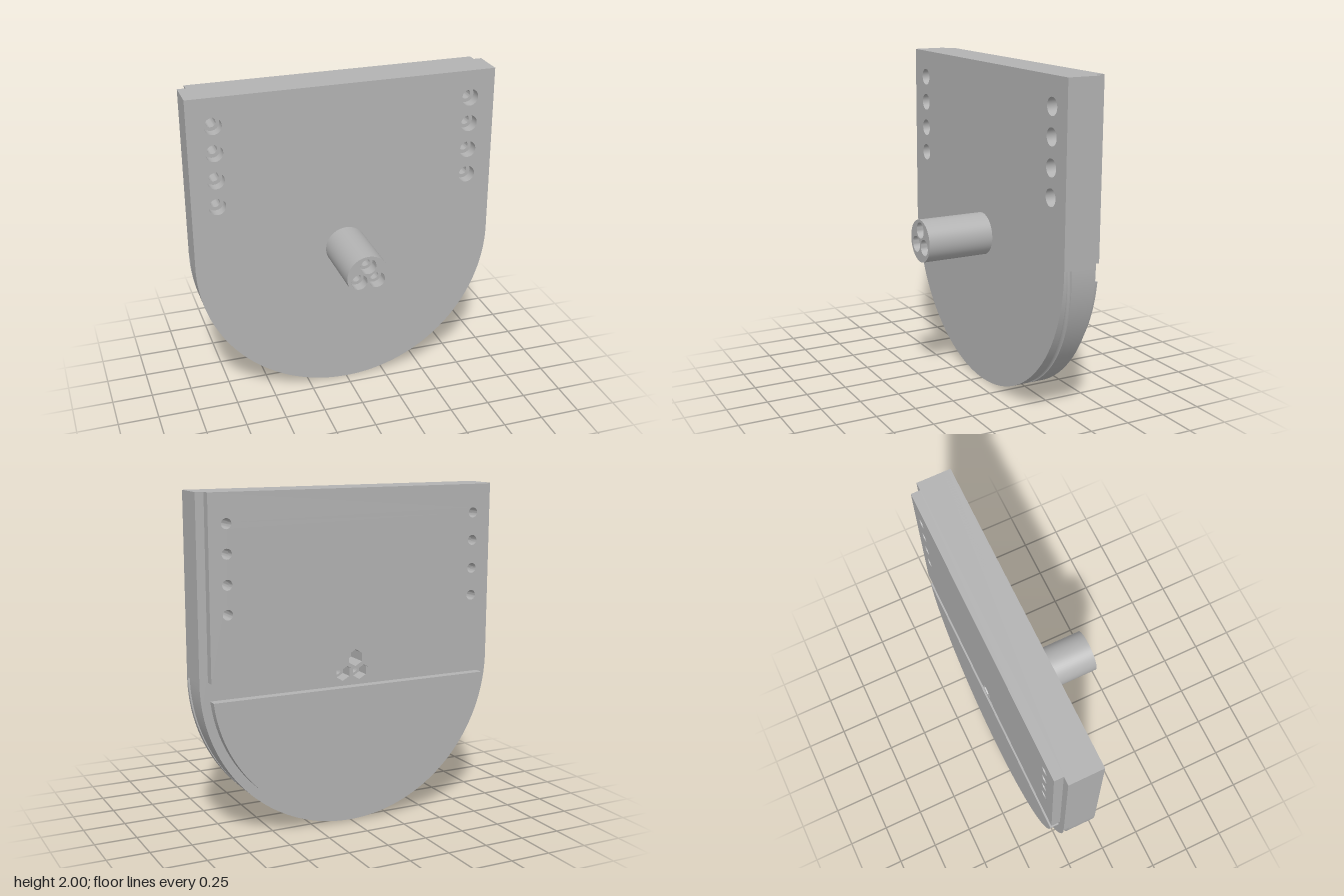
import * as THREE from 'three';
import { toCreasedNormals } from 'three/addons/utils/BufferGeometryUtils.js';

const R = 0.945, CY = 0.945, TOP = 2;            // rounded plate outline
const FRONT = -0.08, BACK = -0.285, PANEL = -0.34; // depth levels
const ARC = 96;
const BORE = 0.03, HEX = 0.05, HEX_FLOOR = -0.2;

const sideHoles = [];
for (const x of [-0.79, 0.79]) for (const y of [1.83, 1.665, 1.495, 1.33]) sideHoles.push([x, y]);
const bossHoles = [[0, 1.015], [-0.055, 0.92], [0.055, 0.92]];

const circle = (x, y, r) => new THREE.Path().absarc(x, y, r, 0, Math.PI * 2, true);

// Pointy-top hexagon corners
const hexPoints = (x, y) => Array.from({ length: 6 }, (_, i) => {
  const a = Math.PI / 2 + i * Math.PI / 3;
  return new THREE.Vector2(x + HEX * Math.cos(a), y + HEX * Math.sin(a));
});

// Arc points running from +x, under the centre, to -x
function lowerArc(r, start = 0) {
  return Array.from({ length: ARC + 1 }, (_, i) => {
    const t = start + (Math.PI - 2 * start) * i / ARC;
    return new THREE.Vector2(r * Math.cos(t), CY - r * Math.sin(t));
  });
}

function plateShape() {
  return new THREE.Shape([new THREE.Vector2(R, TOP), ...lowerArc(R), new THREE.Vector2(-R, TOP)]);
}

// Plate edge lofted around the outline, with a shallow spiral groove in the curved part
function rimGeometry() {
  const STEPS = 8, g = 0.016, sections = [];
  const add = (x, y, nx, ny, t, depth) => {
    const zc = Math.max(-0.11 - 0.18 * t, -0.268);
    const row = [[x, y, FRONT]];
    for (let i = 0; i <= STEPS; i++) {
      const a = Math.PI * i / STEPS, d = depth * Math.sin(a);
      row.push([x - nx * d, y - ny * d, zc + g * Math.cos(a)]);
    }
    row.push([x, y, BACK]);
    sections.push(row);
  };
  add(R, TOP, 1, 0, 0, 0);
  add(R, CY, 1, 0, 0, 0);
  for (let i = 0; i <= ARC; i++) {
    const t = i / ARC, c = Math.cos(t * Math.PI), s = -Math.sin(t * Math.PI);
    add(R * c, CY + R * s, c, s, t, g);
  }
  add(-R, CY, -1, 0, 1, 0);
  add(-R, TOP, -1, 0, 1, 0);
  const n = sections[0].length, index = [];
  for (let i = 0; i < sections.length; i++) {
    const a = i * n, b = ((i + 1) % sections.length) * n;
    for (let j = 0; j < n - 1; j++) index.push(a + j, b + j, b + j + 1, a + j, b + j + 1, a + j + 1);
  }
  const geo = new THREE.BufferGeometry();
  geo.setAttribute('position', new THREE.Float32BufferAttribute(sections.flat(2), 3));
  geo.setIndex(index);
  return toCreasedNormals(geo, 0.35);
}

// Counterbored hole lining, wide at the front
function boreGeometry(wide, front, step, back) {
  const profile = [[wide, front], [wide, step], [BORE, step], [BORE, back]]
    .map(p => new THREE.Vector2(...p));
  const geo = new THREE.LatheGeometry(profile, 32).rotateX(Math.PI / 2);
  return toCreasedNormals(geo, 0.5);
}

export function createModel() {
  const group = new THREE.Group();
  const grey = new THREE.MeshStandardMaterial({ color: 0xb2b2b2, side: THREE.DoubleSide });
  grey.name = 'grey';
  const add = (name, geo, x = 0, y = 0, z = 0) => {
    const mesh = new THREE.Mesh(geo, grey);
    mesh.name = name;
    mesh.position.set(x, y, z);
    group.add(mesh);
    return mesh;
  };

  // Main plate: rim, front face and back face
  add('plateRim', rimGeometry());
  const front = plateShape();
  for (const [x, y] of sideHoles) front.holes.push(circle(x, y, 0.052));
  for (const [x, y] of bossHoles) front.holes.push(circle(x, y, BORE));
  add('plateFront', new THREE.ShapeGeometry(front, 16), 0, 0, FRONT);

  const back = plateShape();
  for (const [x, y] of sideHoles) back.holes.push(circle(x, y, BORE));
  for (const [x, y] of bossHoles) back.holes.push(new THREE.Path(hexPoints(x, y)));
  const backGeo = new THREE.ShapeGeometry(back, 16);
  const idx = backGeo.index.array;
  for (let i = 0; i < idx.length; i += 3) [idx[i], idx[i + 1]] = [idx[i + 1], idx[i]];
  backGeo.computeVertexNormals();
  add('plateBack', backGeo, 0, 0, BACK);

  // Raised upper back panel, notched along its lower edge by two hex pockets
  const P = 0.895, EDGE = 0.95, half = 0.0346;
  const upper = new THREE.Shape();
  upper.moveTo(-P, TOP);
  upper.lineTo(-P, EDGE);
  for (const [x, y] of bossHoles.slice(1)) {
    upper.lineTo(x - half, EDGE);
    upper.lineTo(x, y + HEX);
    upper.lineTo(x + half, EDGE);
  }
  upper.lineTo(P, EDGE);
  upper.lineTo(P, TOP);
  for (const [x, y] of sideHoles) upper.holes.push(circle(x, y, BORE));
  upper.holes.push(new THREE.Path(hexPoints(...bossHoles[0])));
  const thick = { depth: BACK - PANEL, bevelEnabled: false, curveSegments: 16 };
  add('upperBackPanel', toCreasedNormals(new THREE.ExtrudeGeometry(upper, thick), 0.5), 0, 0, PANEL);

  // Raised lower back panel, a circle segment
  const lower = new THREE.Shape(lowerArc(0.89, Math.asin(0.105 / 0.89)));
  add('lowerBackPanel', toCreasedNormals(new THREE.ExtrudeGeometry(lower, thick), 0.5), 0, 0, PANEL);

  // Counterbored holes down both sides
  const sideBore = boreGeometry(0.052, FRONT, FRONT - 0.07, PANEL);
  for (const [x, y] of sideHoles) add('sideHole', sideBore, x, y);

  // Round boss on the front
  const bossY = 0.95, bossR = 0.13, bossEnd = 0.34;
  const wall = new THREE.CylinderGeometry(bossR, bossR, bossEnd - FRONT, 64, 1, true).rotateX(Math.PI / 2);
  add('bossWall', wall, 0, bossY, (bossEnd + FRONT) / 2);
  const cap = new THREE.Shape().absarc(0, bossY, bossR, 0, Math.PI * 2);
  for (const [x, y] of bossHoles) cap.holes.push(circle(x, y, 0.049));
  add('bossFace', new THREE.ShapeGeometry(cap, 32), 0, 0, bossEnd);

  // Bolt holes through the boss, ending in hex nut pockets at the back
  const bossBore = boreGeometry(0.049, bossEnd, bossEnd - 0.07, HEX_FLOOR);
  for (const [x, y] of bossHoles) {
    add('bossHole', bossBore, x, y);
    const ring = new THREE.Shape(hexPoints(x, y));
    const pocketWall = new THREE.CylinderGeometry(HEX, HEX, HEX_FLOOR - BACK, 6, 1, true).rotateX(Math.PI / 2);
    pocketWall.rotateZ(Math.PI / 2 * 2);
    add('nutPocketWall', toCreasedNormals(pocketWall, 0.5), x, y, (HEX_FLOOR + BACK) / 2);
    ring.holes.push(circle(x, y, BORE));
    add('nutPocketFloor', new THREE.ShapeGeometry(ring, 16), 0, 0, HEX_FLOOR);
  }
  return group;
}
